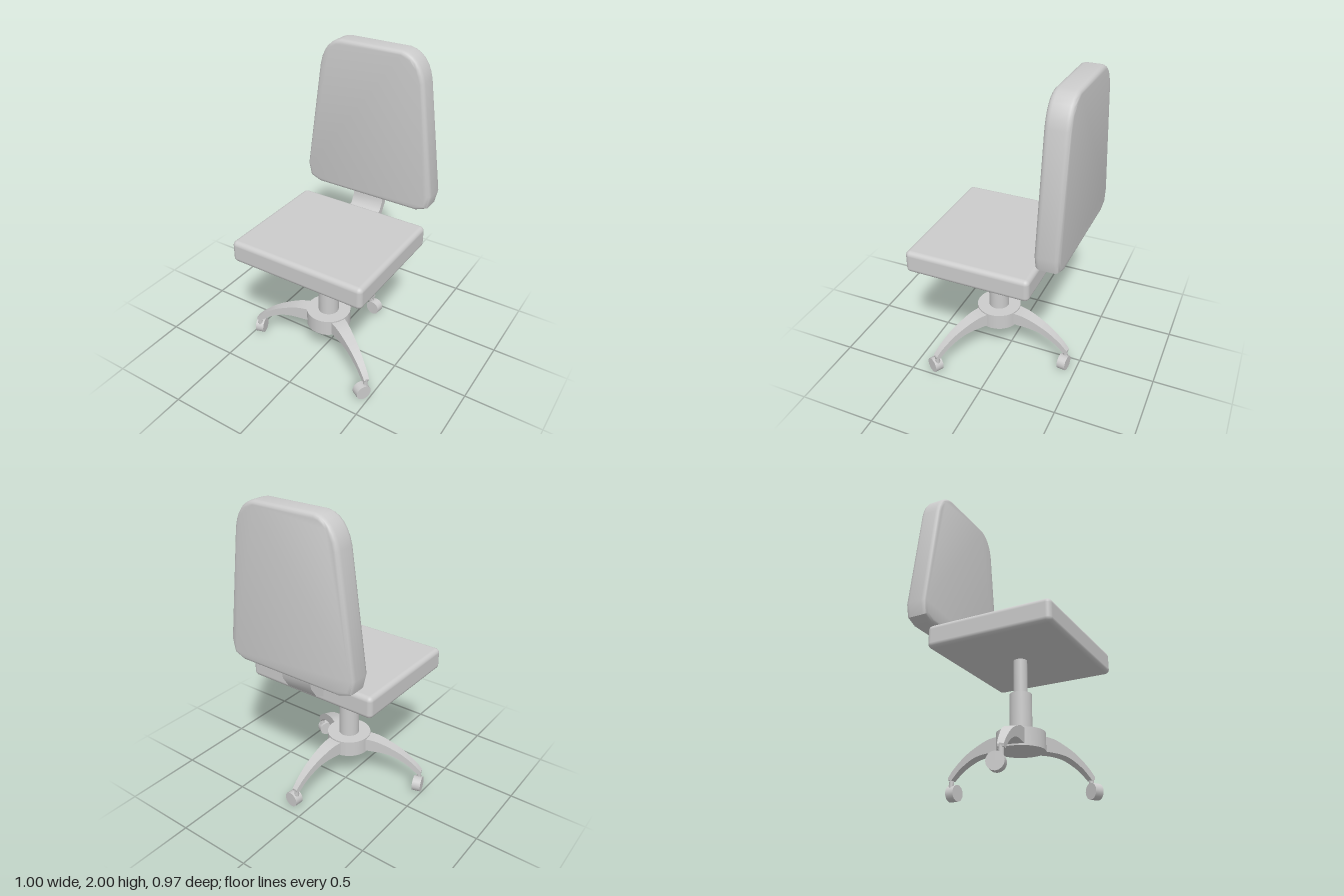
import * as THREE from 'three';
import { RoundedBoxGeometry } from 'three/addons/geometries/RoundedBoxGeometry.js';
import { toCreasedNormals } from 'three/addons/utils/BufferGeometryUtils.js';

const material = new THREE.MeshStandardMaterial({ color: 0xcccccc });
const CX = 0.028, CZ = 0.078; // column axis

function part(name, geometry, x = 0, y = 0, z = 0) {
  const mesh = new THREE.Mesh(geometry, material);
  mesh.name = name;
  mesh.position.set(x, y, z);
  return mesh;
}

function column(name, radius, y0, y1, sides = 24) {
  return part(name, new THREE.CylinderGeometry(radius, radius, y1 - y0, sides), CX, (y0 + y1) / 2, CZ);
}

// Padded backrest: tapered outline with a rounded edge
function backrest() {
  const s = new THREE.Shape();
  s.moveTo(-0.265, 1.0);
  s.lineTo(0.265, 1.0);
  s.lineTo(0.36, 1.0);
  s.lineTo(0.435, 1.03);
  s.lineTo(0.455, 1.12);
  s.lineTo(0.355, 1.83);
  s.bezierCurveTo(0.335, 1.93, 0.28, 1.99, 0.205, 2.0);
  s.lineTo(-0.205, 2.0);
  s.bezierCurveTo(-0.28, 1.99, -0.335, 1.93, -0.355, 1.83);
  s.lineTo(-0.455, 1.12);
  s.lineTo(-0.435, 1.03);
  s.lineTo(-0.36, 1.0);
  s.closePath();
  const g = new THREE.ExtrudeGeometry(s, {
    depth: 0.085, bevelThickness: 0.03, bevelSize: 0.024, bevelOffset: -0.024,
    bevelSegments: 4, curveSegments: 6,
  });
  return part('backrest', toCreasedNormals(g, 0.75), 0.045, 0, -0.455);
}

// Curved plate joining seat and backrest, profile in (-z, y)
function bracket() {
  const s = new THREE.Shape();
  s.moveTo(0.25, 0.83);
  s.lineTo(0.31, 0.832);
  s.lineTo(0.38, 0.865);
  s.lineTo(0.428, 0.94);
  s.lineTo(0.437, 1.0);
  s.lineTo(0.437, 1.05);
  s.lineTo(0.387, 1.05);
  s.lineTo(0.387, 0.96);
  s.lineTo(0.358, 0.908);
  s.lineTo(0.31, 0.885);
  s.lineTo(0.25, 0.885);
  s.closePath();
  const g = new THREE.ExtrudeGeometry(s, { depth: 0.215, bevelEnabled: false });
  g.rotateY(Math.PI / 2);
  return part('backBracket', toCreasedNormals(g, 0.7), -0.07, 0, 0);
}

// Arched leg: side profile in (radius, y), narrowed towards tip and top
function legGeometry() {
  const s = new THREE.Shape();
  s.moveTo(0.08, 0.24);
  s.lineTo(0.17, 0.24);
  s.splineThru([[0.25, 0.24], [0.33, 0.225], [0.42, 0.18], [0.475, 0.135], [0.49, 0.12]]
    .map(([x, y]) => new THREE.Vector2(x, y)));
  s.lineTo(0.515, 0.125);
  s.lineTo(0.518, 0.14);
  s.splineThru([[0.47, 0.19], [0.38, 0.255], [0.28, 0.3], [0.19, 0.325], [0.08, 0.328]]
    .map(([x, y]) => new THREE.Vector2(x, y)));
  s.closePath();
  const g = new THREE.ExtrudeGeometry(s, { depth: 2, bevelEnabled: false, curveSegments: 4 });
  g.translate(0, 0, -1);
  const p = g.attributes.position;
  for (let i = 0; i < p.count; i++) {
    const half = THREE.MathUtils.mapLinear(p.getX(i), 0.08, 0.518, 0.052, 0.018);
    p.setZ(i, p.getZ(i) * half);
  }
  return toCreasedNormals(g, 0.6);
}

export function createModel() {
  const chair = new THREE.Group();
  chair.name = 'officeChair';

  // Seat and back
  chair.add(part('seat', new RoundedBoxGeometry(0.91, 0.145, 0.795, 4, 0.03), 0.045, 0.8625, 0.085));
  chair.add(backrest(), bracket());

  // Gas lift and hub
  chair.add(column('upperColumn', 0.042, 0.56, 0.8));
  chair.add(column('lowerColumn', 0.067, 0.32, 0.575));
  chair.add(column('hub', 0.145, 0.23, 0.338));

  // Three legs with swivelled casters
  const legGeo = legGeometry();
  const stemGeo = new THREE.CylinderGeometry(0.015, 0.015, 0.09, 12);
  const wheelGeo = new THREE.CylinderGeometry(0.05, 0.05, 0.056, 16).rotateZ(Math.PI / 2);
  const yokeGeo = new THREE.BoxGeometry(0.028, 0.03, 0.04);
  for (const degrees of [30, 164.5, -84]) {
    const leg = new THREE.Group();
    leg.name = 'legWithCaster';
    leg.position.set(CX, 0, CZ);
    leg.rotation.y = -THREE.MathUtils.degToRad(degrees);
    leg.add(
      part('leg', legGeo),
      part('casterStem', stemGeo, 0.502, 0.1, 0),
      part('casterYoke', yokeGeo, 0.502, 0.085, 0.01),
      part('casterWheel', wheelGeo, 0.502, 0.052, 0.025),
    );
    chair.add(leg);
  }
  return chair;
}
